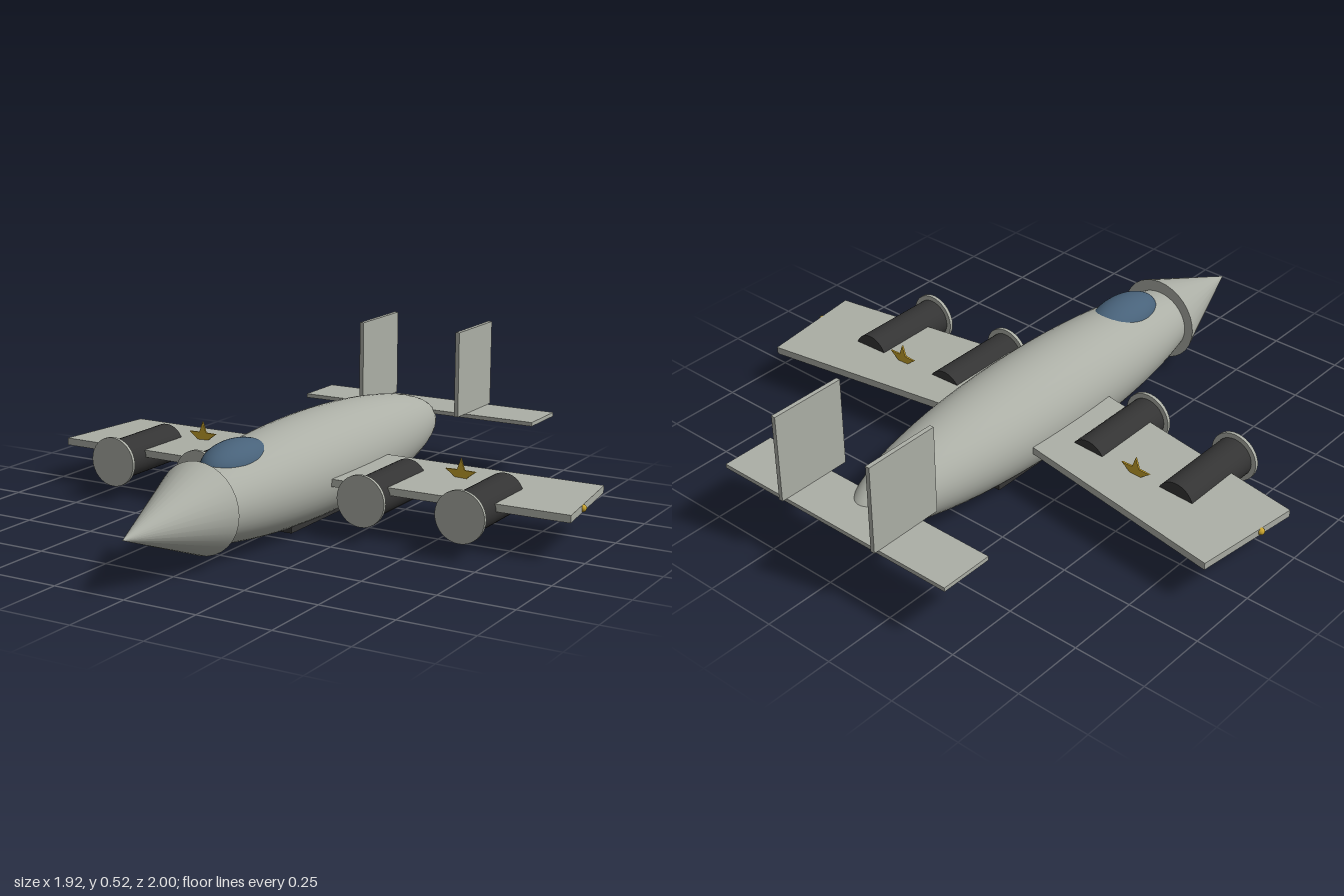
import * as THREE from 'three';

const paint = (name, color) => {
  const m = new THREE.MeshStandardMaterial({ color });
  m.name = name;
  return m;
};

export function createModel() {
  const plane = new THREE.Group();
  plane.name = 'airplane';
  const grey = paint('hull grey', 0xacafa6);
  const dark = paint('engine black', 0x343434);
  const blue = paint('canopy blue', 0x48627a);
  const gold = paint('gold', 0xc9a42e);

  const add = (name, geometry, material, x, y, z) => {
    const mesh = new THREE.Mesh(geometry, material);
    mesh.name = name;
    mesh.position.set(x, y, z);
    plane.add(mesh);
    return mesh;
  };
  const box = (w, h, d) => new THREE.BoxGeometry(w, h, d);
  const ellipsoid = (rx, ry, rz) => new THREE.SphereGeometry(1, 48, 32).rotateX(Math.PI / 2).scale(rx, ry, rz);
  const rod = (r, length) => new THREE.CylinderGeometry(r, r, length, 32).rotateX(Math.PI / 2);

  // Body, nose cone, canopy and belly plate
  add('fuselage', ellipsoid(0.18, 0.173, 0.85), grey, 0, 0.174, -0.04);
  add('noseCone', new THREE.ConeGeometry(0.148, 0.385, 32).rotateX(Math.PI / 2), grey, 0, 0.178, 0.8075);
  add('canopy', ellipsoid(0.085, 0.07, 0.156), blue, 0, 0.28, 0.406);
  add('bellyPlate', box(0.19, 0.02, 0.57), dark, 0, 0.026, -0.055);

  // Five-pointed star outline
  const star = new THREE.Shape();
  for (let i = 0; i < 10; i++) {
    const r = i % 2 ? 0.023 : 0.057;
    const a = Math.PI / 2 + (i * Math.PI) / 5;
    star[i ? 'lineTo' : 'moveTo'](r * Math.cos(a), r * Math.sin(a));
  }
  star.closePath();
  const starGeometry = new THREE.ExtrudeGeometry(star, { depth: 0.006, bevelEnabled: false });

  for (const s of [1, -1]) {
    // Swept wing that droops slightly towards the tip
    const sweep = THREE.MathUtils.degToRad(7);
    const droop = THREE.MathUtils.degToRad(2);
    const length = 0.86;
    const wing = add('wing', box(length, 0.025, 0.378), grey,
      s * (0.935 - (length / 2) * Math.cos(sweep)), 0.14 + (length / 2) * Math.sin(droop),
      -0.167 + (length / 2) * Math.sin(sweep));
    wing.rotation.set(0, s * sweep, -s * droop);

    // Wing star and tip light
    add('wingStar', starGeometry, gold, s * 0.5, 0.175, -0.158);
    add('tipLight', new THREE.SphereGeometry(0.012, 16, 12), gold, s * 0.942, 0.141, -0.11);

    // Engines with a front disc and a rear exhaust ball
    for (const x of [0.308, 0.654]) {
      add('engine', rod(0.068, 0.31), dark, s * x, 0.137, 0);
      add('engineDisc', rod(0.085, 0.012), grey, s * x, 0.137, 0.16);
      add('exhaustBall', new THREE.SphereGeometry(0.027, 20, 14), gold, s * x, 0.135, -0.155);
    }

    // Upright tail fin
    add('tailFin', box(0.015, 0.305, 0.265), grey, s * 0.193, 0.3675, -0.8675);
  }

  // Horizontal tail
  add('tailplane', box(0.92, 0.014, 0.187), grey, 0, 0.208, -0.889);

  return plane;
}
